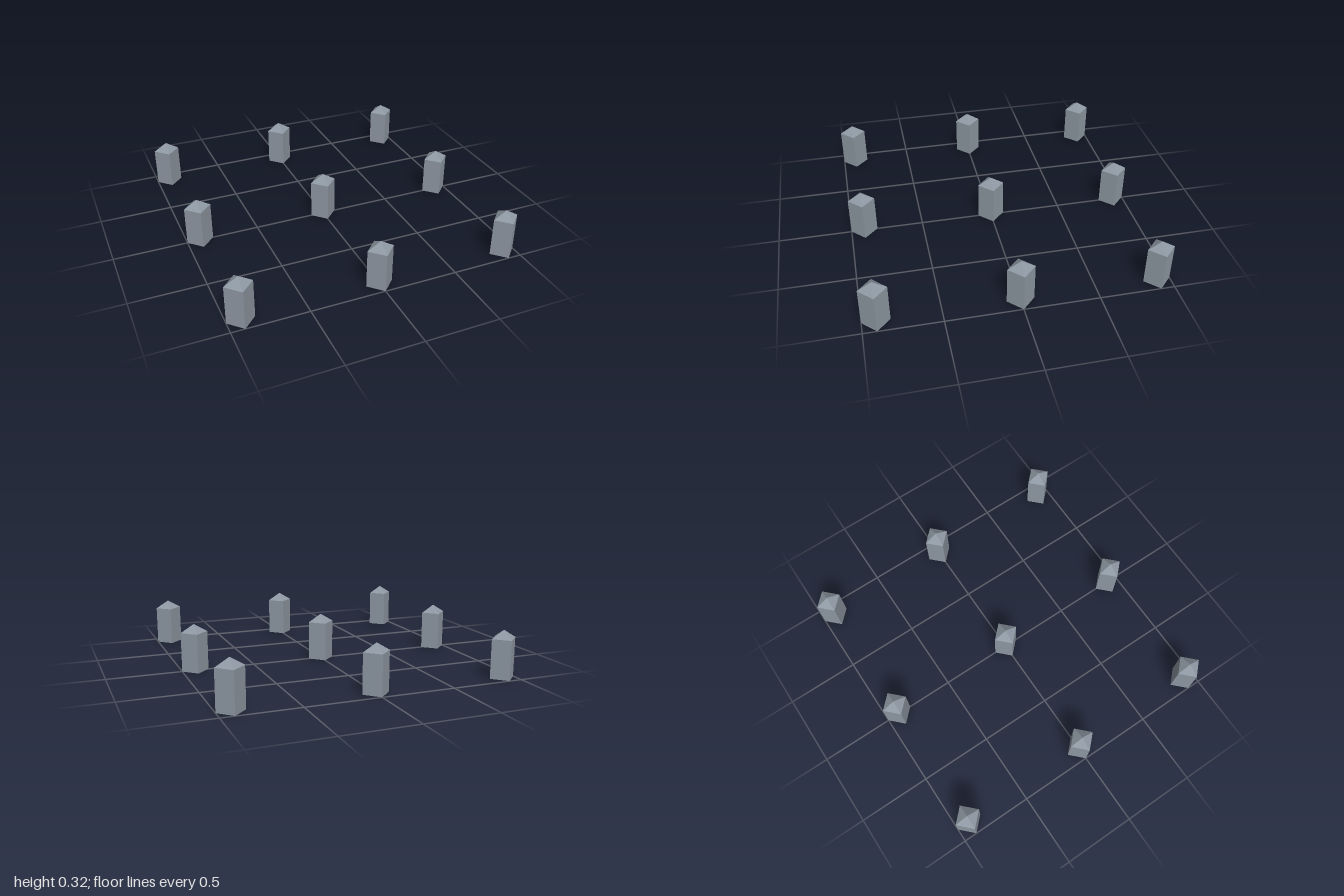
import * as THREE from 'three';

const RADIUS = 0.09;    // centre to corner of the square post
const SHOULDER = 0.265; // where the pointed cap starts
const TIP = 0.32;
const SPACING = 0.91;

export function createModel() {
  const model = new THREE.Group();
  model.name = 'postGrid';
  const material = new THREE.MeshStandardMaterial({
    color: 0x8f99a4, flatShading: true, side: THREE.DoubleSide,
  });

  // Hollow square post turned 45 degrees: open base, straight sides, pyramid cap
  const profile = [[RADIUS, 0], [RADIUS, SHOULDER], [0, TIP]]
    .map(([r, y]) => new THREE.Vector2(r, y));
  const postGeometry = new THREE.LatheGeometry(profile, 4);

  // Three by three grid of posts
  const rows = ['back', 'middle', 'front'];
  const columns = ['Right', 'Centre', 'Left'];
  rows.forEach((row, j) => columns.forEach((column, i) => {
    const post = new THREE.Mesh(postGeometry, material);
    post.name = `${row}${column}Post`;
    post.position.set((i - 1) * SPACING, 0, (j - 1) * SPACING);
    model.add(post);
  }));

  return model;
}
